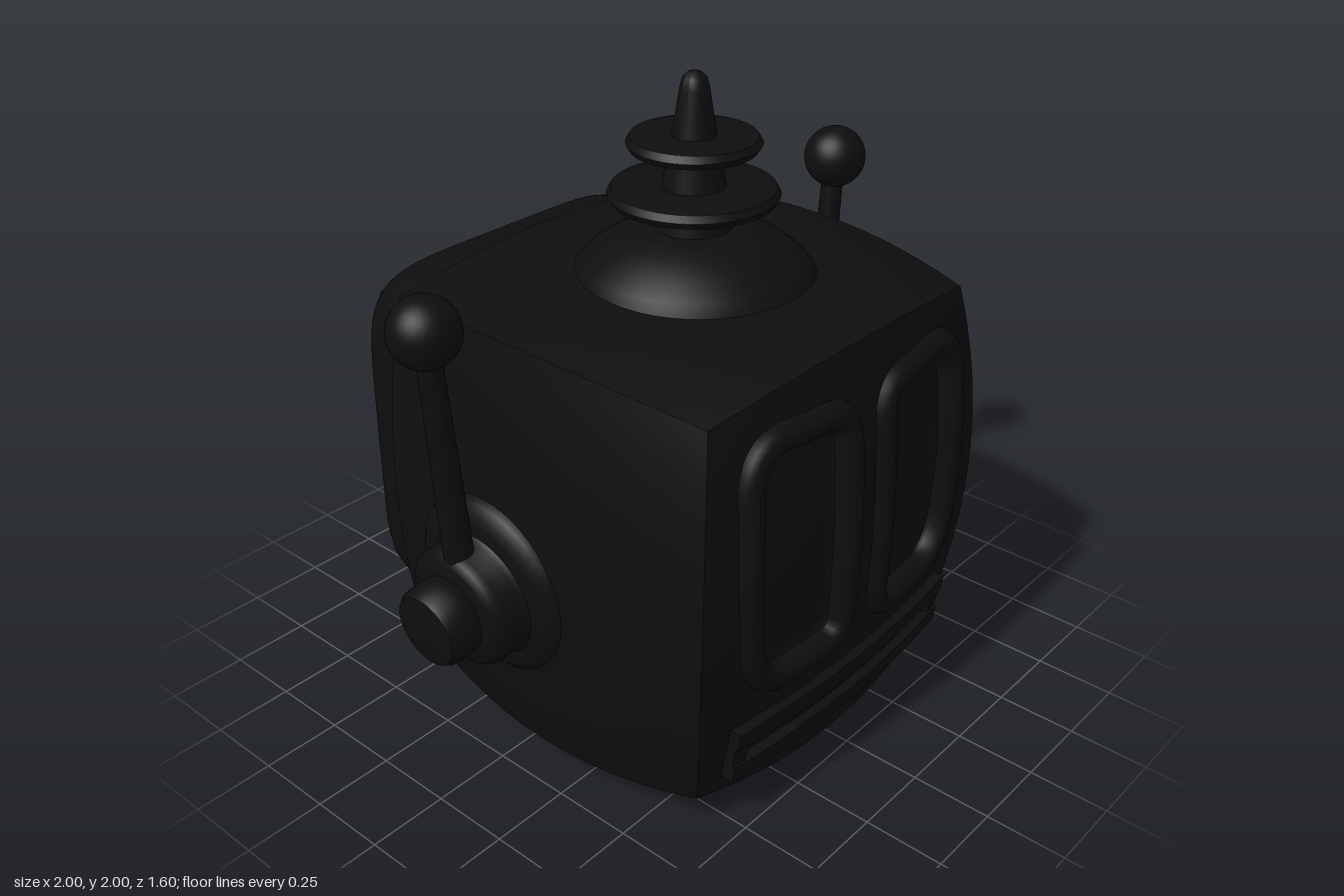
import * as THREE from 'three';
import { toCreasedNormals } from 'three/addons/utils/BufferGeometryUtils.js';

const mat = new THREE.MeshStandardMaterial({ color: 0x0e0e0e });

function add(parent, name, geometry, x = 0, y = 0, z = 0) {
  const mesh = new THREE.Mesh(geometry, mat);
  mesh.name = name;
  mesh.position.set(x, y, z);
  parent.add(mesh);
  return mesh;
}

const lathe = (pts, seg = 48) =>
  toCreasedNormals(new THREE.LatheGeometry(pts.map(p => new THREE.Vector2(...p)), seg), 0.7);

// Bulge of the front face, in face coordinates -1..1 and in model units
const face = (u, v) => 0.65 + 0.055 * (1 - u * u) + 0.06 * (1 - v * v) + 0.01 * v;
const faceAt = (x, y) => face(x / 0.64, (y - 0.71) / 0.66);

// Depth of the sunken lens area inside each eye rim
const EYE = { x: 0.285, y: 0.838, hw: 0.205, hh: 0.383 };
function lensDepth(x, y) {
  const r = 0.12;
  const qx = Math.abs(Math.abs(x) - EYE.x) - EYE.hw + r;
  const qy = Math.abs(y - EYE.y) - EYE.hh + r;
  const d = Math.hypot(Math.max(qx, 0), Math.max(qy, 0)) + Math.min(Math.max(qx, qy), 0) - r;
  return 0.03 * THREE.MathUtils.smoothstep(-d, 0, 0.05);
}

// Box whose six faces swell outwards, with crisp edges
function headGeometry() {
  const g = new THREE.BoxGeometry(2, 2, 2, 60, 60, 40);
  const p = g.attributes.position;
  for (let i = 0; i < p.count; i++) {
    const u = p.getX(i), v = p.getY(i), t = p.getZ(i);
    const w = 0.603 + 0.07 * (1 - v * v) + 0.06 * (1 - t * t) - 0.015 * t;
    const top = 1.33 + 0.06 * (1 - u * u) + 0.045 * (1 - t * t) - 0.015 * t;
    const bottom = 0.004 + 0.06 * u * u + 0.075 * t * t - 0.035 * t;
    const x = u * w;
    const y = THREE.MathUtils.lerp(bottom, top, (v + 1) / 2);
    let z = THREE.MathUtils.lerp(-0.485, face(u, v), (t + 1) / 2);
    if (t > 0.999) z -= lensDepth(x, y);
    p.setXYZ(i, x, y, z);
  }
  g.computeVertexNormals();
  return g;
}

// Point on a rounded square outline
function squarePoint(a, hw, hh, n) {
  const f = c => Math.sign(c) * Math.abs(c) ** (2 / n);
  return [hw * f(Math.cos(a)), hh * f(Math.sin(a))];
}

// Rounded square sections [z, half width, half height], front to back
function loft(sections, n = 6, seg = 96) {
  const pos = [], idx = [];
  sections.forEach(([z, hw, hh], i) => {
    for (let j = 0; j < seg; j++) {
      pos.push(...squarePoint((j / seg) * Math.PI * 2, hw, hh, n), z);
      if (i === sections.length - 1) continue;
      const a = i * seg + j, b = i * seg + (j + 1) % seg;
      idx.push(a, a + seg, b, b, a + seg, b + seg);
    }
  });
  const g = new THREE.BufferGeometry();
  g.setAttribute('position', new THREE.Float32BufferAttribute(pos, 3));
  g.setIndex(idx);
  return toCreasedNormals(g, 0.6);
}

// Rounded tube around one eye, following the face
function eyeRim(side) {
  const x0 = EYE.x - EYE.hw, x1 = EYE.x + EYE.hw, y0 = EYE.y - EYE.hh, y1 = EYE.y + EYE.hh;
  const s = new THREE.Shape();
  s.moveTo(x0 + 0.09, y0);
  s.lineTo(x1 - 0.17, y0);
  s.quadraticCurveTo(x1 - 0.02, y0, x1 - 0.01, y0 + 0.2);
  s.lineTo(x1, EYE.y);
  s.lineTo(x1 - 0.01, y1 - 0.13);
  s.quadraticCurveTo(x1 - 0.02, y1, x1 - 0.14, y1);
  s.lineTo(x0 + 0.11, y1 - 0.01);
  s.quadraticCurveTo(x0, y1 - 0.01, x0, y1 - 0.12);
  s.lineTo(x0, y0 + 0.1);
  s.quadraticCurveTo(x0, y0, x0 + 0.09, y0);
  const pts = s.getSpacedPoints(60).slice(0, -1)
    .map(p => new THREE.Vector3(side * p.x, p.y, faceAt(p.x, p.y) - 0.01));
  return new THREE.TubeGeometry(new THREE.CatmullRomCurve3(pts, true), 120, 0.045, 12, true);
}

// Raised bar bent to the face
function faceBar(x, y, w, h, height) {
  const g = new THREE.BoxGeometry(w, h, 1, 24, 2, 1);
  const p = g.attributes.position;
  for (let i = 0; i < p.count; i++) {
    const px = p.getX(i) + x, py = p.getY(i) + y;
    p.setXYZ(i, px, py, faceAt(px, py) + (p.getZ(i) > 0 ? height : -0.04));
  }
  g.computeVertexNormals();
  return g;
}

export function createModel() {
  const model = new THREE.Group();
  model.name = 'robotHead';
  add(model, 'head', headGeometry());

  // Back housing and riveted plate
  add(model, 'backHousing', loft([
    [-0.44, 0.615, 0.605], [-0.50, 0.612, 0.6], [-0.60, 0.595, 0.582], [-0.69, 0.575, 0.558],
    [-0.71, 0.565, 0.545], [-0.755, 0.495, 0.48], [-0.765, 0.47, 0.46], [-0.765, 0, 0],
  ]), 0, 0.77, 0);
  add(model, 'backPlate', loft([[-0.75, 0.47, 0.46], [-0.778, 0.465, 0.455], [-0.778, 0, 0]], 9), 0, 0.775, 0);
  const rivets = new THREE.Group();
  rivets.name = 'rivets';
  model.add(rivets);
  const rivet = new THREE.SphereGeometry(0.02, 10, 8);
  const count = 11;
  for (let i = 0; i < count; i++) {
    const k = -1 + (2 * i) / count;
    const bow = 0.425 + 0.015 * (1 - k * k);
    for (const [x, y] of [[k * 0.435, bow], [-k * 0.435, -bow], [bow + 0.01, -k * 0.425], [-bow - 0.01, k * 0.425]])
      add(rivets, 'rivet', rivet, x, 0.775 + y, -0.779);
  }

  // Mouth grille
  const mouth = new THREE.Group();
  mouth.name = 'mouth';
  model.add(mouth);
  add(mouth, 'mouthTop', faceBar(0, 0.312, 1.04, 0.06, 0.033));
  add(mouth, 'mouthBottom', faceBar(0, 0.188, 1.04, 0.055, 0.033));
  add(mouth, 'mouthSlat', faceBar(0, 0.25, 0.94, 0.025, 0.012));

  // Dome and spire with two discs
  const spire = new THREE.Group();
  spire.name = 'spire';
  spire.position.z = 0.11;
  model.add(spire);
  add(spire, 'dome', lathe([[0.375, 1.34], [0.36, 1.41], [0.33, 1.445], [0.28, 1.485], [0.22, 1.52],
    [0.16, 1.538], [0.11, 1.545], [0, 1.545]]));
  add(spire, 'spireCone', lathe([[0.118, 1.52], [0.1, 1.63], [0.075, 1.76], [0.057, 1.86], [0.043, 1.95],
    [0.035, 1.98], [0.02, 1.995], [0, 2]], 32));
  for (const [r, y] of [[0.25, 1.645], [0.195, 1.795]])
    add(spire, 'spireDisc', lathe([[0.03, -0.02], [r - 0.04, -0.027], [r - 0.012, -0.02], [r, 0],
      [r - 0.012, 0.02], [r - 0.04, 0.027], [0.03, 0.02]]), 0, y, 0);

  // Eyes, ears and antennae, mirrored
  const earShape = lathe([[0.295, 0], [0.295, 0.1], [0.285, 0.125], [0.26, 0.145], [0.235, 0.155], [0.2, 0.16],
    [0.19, 0.175], [0.19, 0.235], [0.182, 0.255], [0.16, 0.27], [0.12, 0.275], [0.125, 0.3],
    [0.122, 0.36], [0.11, 0.378], [0.09, 0.383], [0, 0.383]]);
  for (const s of [1, -1]) {
    const label = s > 0 ? 'left' : 'right';
    add(model, label + 'EyeRim', eyeRim(s));
    add(mouth, label + 'MouthEnd', faceBar(s * 0.495, 0.25, 0.05, 0.1, 0.025));
    add(model, label + 'Ear', earShape, s * 0.6, 0.61, -0.035).rotation.z = -s * (Math.PI / 2 + 0.09);
    const rod = add(model, label + 'AntennaRod', new THREE.CylinderGeometry(0.035, 0.045, 0.74, 20),
      s * 0.862, 1.07, -0.035);
    rod.rotation.z = -s * 0.085;
    add(model, label + 'AntennaBall', new THREE.SphereGeometry(0.102, 32, 20), s * 0.898, 1.48, -0.035);
  }
  return model;
}
